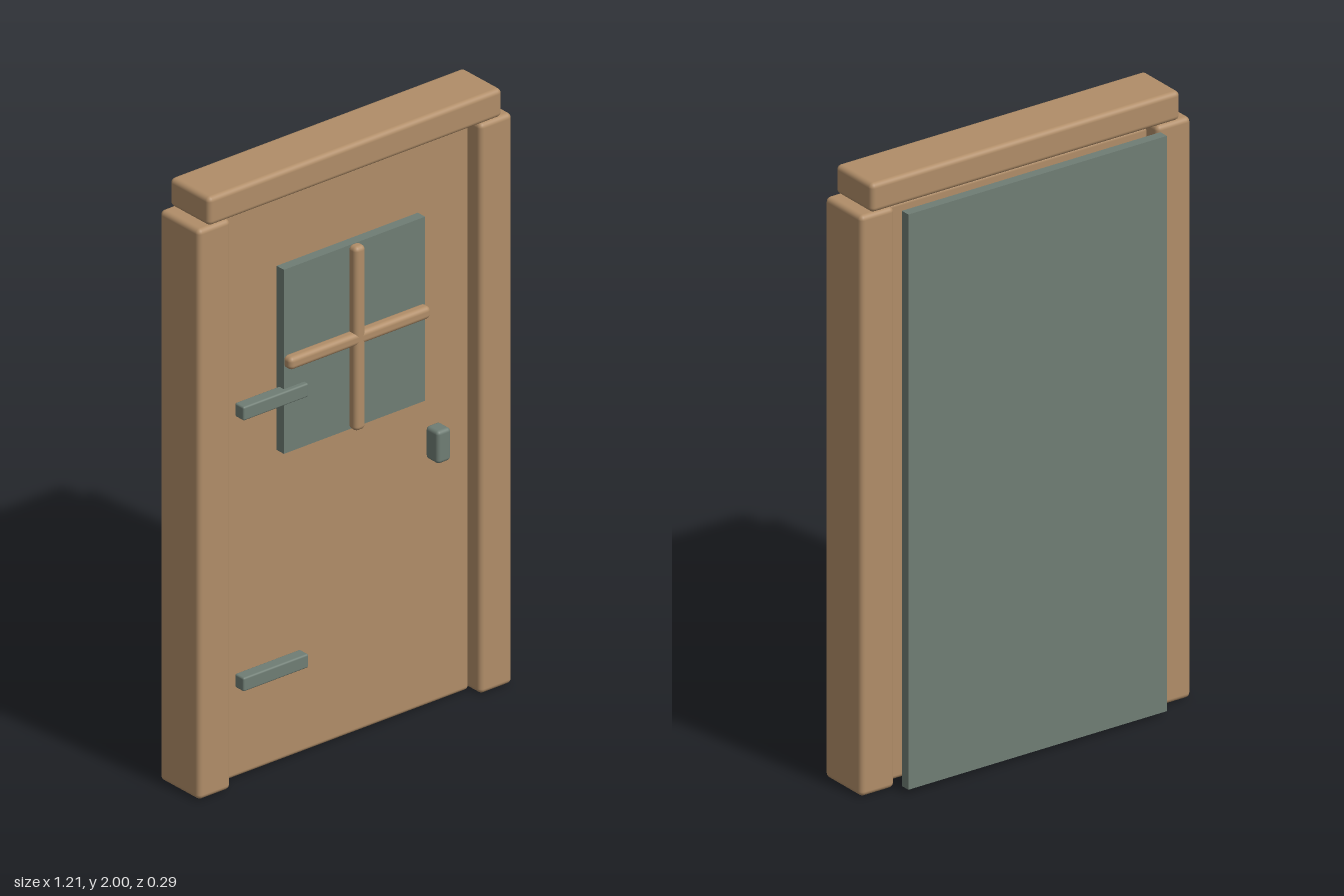
import * as THREE from 'three';
import { RoundedBoxGeometry } from 'three/addons/geometries/RoundedBoxGeometry.js';

export function createModel() {
  const model = new THREE.Group();
  model.name = 'door';

  const wood = new THREE.MeshStandardMaterial({ color: 0xb08d68 });
  wood.name = 'wood';
  const slate = new THREE.MeshStandardMaterial({ color: 0x6f7d74 });
  slate.name = 'slate';

  // Box given by its limits on each axis; a radius rounds the edges.
  function block(name, material, [x0, x1], [y0, y1], [z0, z1], radius = 0) {
    const size = [x1 - x0, y1 - y0, z1 - z0];
    const geometry = radius
      ? new RoundedBoxGeometry(...size, 3, radius)
      : new THREE.BoxGeometry(...size);
    const mesh = new THREE.Mesh(geometry, material);
    mesh.name = name;
    mesh.position.set((x0 + x1) / 2, (y0 + y1) / 2, (z0 + z1) / 2);
    model.add(mesh);
  }

  // Frame: two posts and the lintel resting on them
  block('rightPost', wood, [-0.607, -0.482], [0, 1.905], [-0.09, 0.095], 0.016);
  block('leftPost', wood, [0.482, 0.607], [0, 1.905], [-0.09, 0.095], 0.016);
  block('lintel', wood, [-0.568, 0.568], [1.905, 2], [-0.09, 0.095], 0.016);

  // Recessed door leaf and the sheet behind it
  block('doorLeaf', wood, [-0.477, 0.477], [0.003, 1.895], [-0.05, 0.05], 0.014);
  block('backSheet', slate, [-0.475, 0.475], [0.013, 1.9], [-0.148, -0.115]);

  // Window pane with crossed glazing bars
  block('windowPane', slate, [-0.273, 0.273], [1.05, 1.665], [0.055, 0.089]);
  block('verticalBar', wood, [-0.021, 0.021], [1.05, 1.665], [0.08, 0.12], 0.015);
  block('horizontalBar', wood, [-0.273, 0.273], [1.336, 1.378], [0.08, 0.12], 0.015);

  // Hinge straps and handle
  for (const y of [0.315, 1.22]) {
    block('hingeStrap', slate, [-0.442, -0.19], [y, y + 0.046], [0.063, 0.105], 0.006);
  }
  block('handle', slate, [0.276, 0.329], [0.855, 0.964], [0.085, 0.145], 0.012);

  return model;
}
